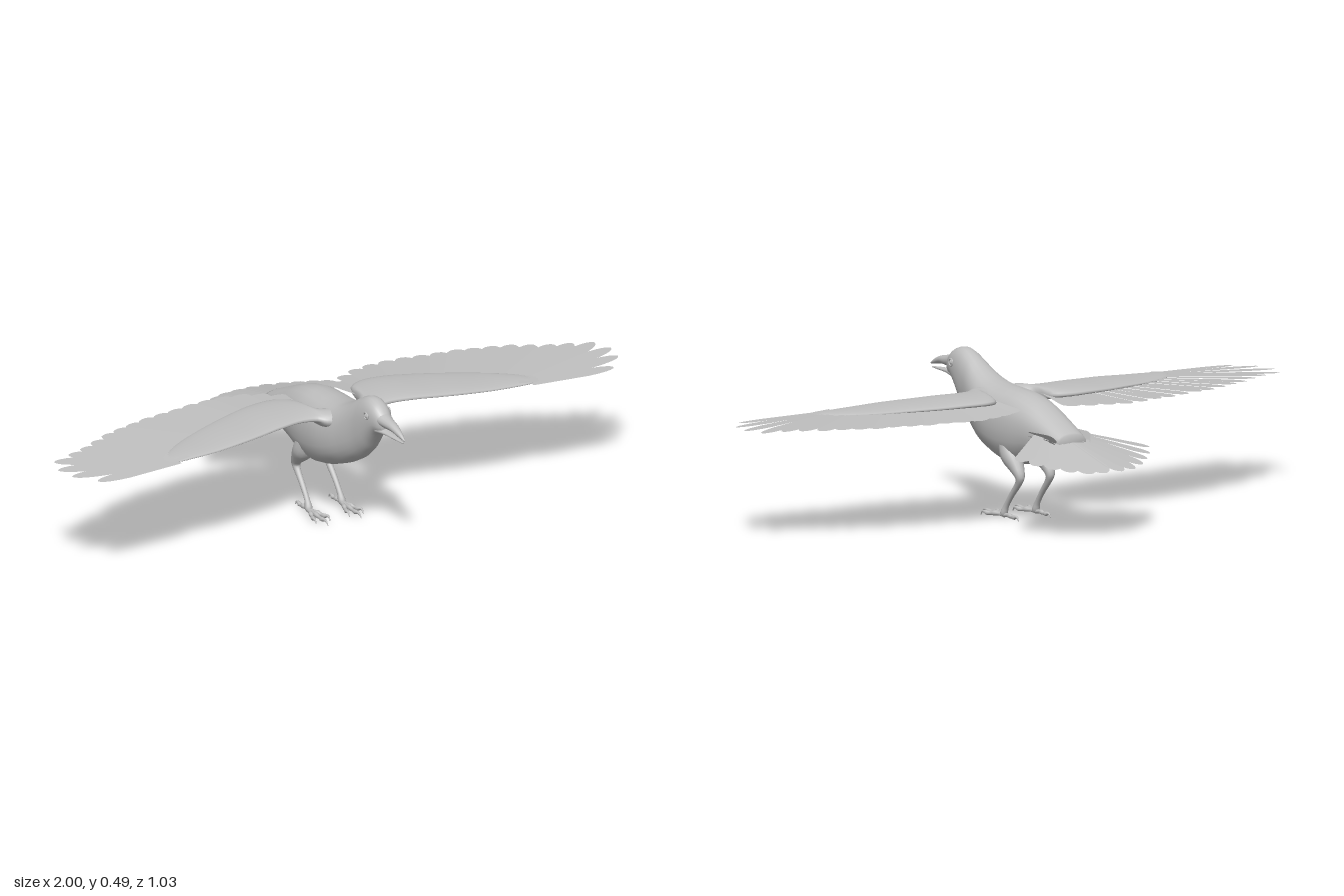
import * as THREE from 'three';

const V = (x, y, z) => new THREE.Vector3(x, y, z);

// Smooth closed skin through rings of points, always wound outward
function loft(rings, steps = 4) {
  const n = rings[0].length, m = (rings.length - 1) * steps, pos = [], idx = [];
  const cols = rings[0].map((_, j) => new THREE.CatmullRomCurve3(rings.map(r => r[j])).getPoints(m));
  for (let i = 0; i <= m; i++) for (let j = 0; j < n; j++) pos.push(...cols[j][i].toArray());
  for (let i = 0; i < m; i++) for (let j = 0; j < n; j++) {
    const a = i * n + j, b = i * n + (j + 1) % n;
    idx.push(a, b, a + n, b, b + n, a + n);
  }
  for (const i of [0, m]) {
    const c = V(0, 0, 0), k = pos.length / 3;
    cols.forEach(col => c.addScaledVector(col[i], 1 / n));
    pos.push(...c.toArray());
    for (let j = 0; j < n; j++) {
      const a = i * n + j, b = i * n + (j + 1) % n;
      idx.push(...(i ? [a, b, k] : [b, a, k]));
    }
  }
  const p = i => V(...pos.slice(i * 3, i * 3 + 3));
  let volume = 0;
  for (let i = 0; i < idx.length; i += 3) volume += p(idx[i]).dot(p(idx[i + 1]).cross(p(idx[i + 2])));
  if (volume < 0) idx.reverse();
  const g = new THREE.BufferGeometry();
  g.setAttribute('position', new THREE.Float32BufferAttribute(pos, 3));
  g.setIndex(idx);
  g.computeVertexNormals();
  return g;
}

const ring = (n, f) => Array.from({ length: n }, (_, j) => f(Math.cos(j / n * Math.PI * 2), Math.sin(j / n * Math.PI * 2)));
const soft = (v, e) => Math.sign(v) * Math.abs(v) ** e;

// Sections along z: [z, bottom, top, half width]
const alongZ = (rows, n = 24, e = 0.88) => loft(rows.map(([z, b, t, w]) =>
  ring(n, (c, s) => V(w * soft(c, e), (b + t) / 2 + (t - b) / 2 * soft(s, e), z))));

// Tapered limb: rows of [x, y, z, radius], running mostly in the yz plane
function limb(rows, n = 10) {
  const pts = rows.map(r => V(r[0], r[1], r[2]));
  return loft(rows.map((r, i) => {
    const t = pts[Math.min(i + 1, pts.length - 1)].clone().sub(pts[Math.max(i - 1, 0)]).normalize();
    const u = V(1, 0, 0).addScaledVector(t, -t.x).normalize(), v = t.clone().cross(u);
    return ring(n, (c, s) => pts[i].clone().addScaledVector(u, c * r[3]).addScaledVector(v, s * r[3]));
  }), 3);
}

// Flat feather from root to tip; point = length share of the tapering end
function feather(root, tip, width, point, up = V(0, 1, 0), roll = 0.06) {
  const L = root.distanceTo(tip), w = width / 2, s = new THREE.Shape();
  s.moveTo(-w * 0.5, 0);
  s.lineTo(-w, L * (1 - point));
  s.quadraticCurveTo(-w * 0.9, L * 0.98, 0, L);
  s.quadraticCurveTo(w * 0.9, L * 0.98, w, L * (1 - point));
  s.lineTo(w * 0.5, 0);
  const dir = tip.clone().sub(root).normalize(), side = dir.clone().cross(up).normalize();
  const g = new THREE.ShapeGeometry(s, 5).rotateY(roll);
  return g.applyMatrix4(new THREE.Matrix4().makeBasis(side, dir, side.clone().cross(dir)).setPosition(root));
}

// Copy reflected in x with its faces turned back outward
function mirror(geo) {
  const g = geo.clone().scale(-1, 1, 1);
  g.setIndex(Array.from(g.index.array).reverse());
  g.computeVertexNormals();
  return g;
}

export function createModel() {
  const model = new THREE.Group();
  model.name = 'bird';
  const plumage = new THREE.MeshStandardMaterial({ color: 0xbfbfbf, side: THREE.DoubleSide });
  plumage.name = 'plain grey';
  const add = (name, geo) => {
    const m = new THREE.Mesh(geo, plumage);
    m.name = name;
    model.add(m);
  };
  const pair = (name, geo) => {
    add(name + 'Left', geo);
    add(name + 'Right', mirror(geo));
  };

  // Head and body
  add('body', alongZ([
    [0.397, 0.405, 0.452, 0.018], [0.385, 0.397, 0.465, 0.027], [0.36, 0.386, 0.484, 0.036],
    [0.33, 0.35, 0.494, 0.042], [0.30, 0.308, 0.492, 0.047], [0.26, 0.27, 0.474, 0.054],
    [0.21, 0.238, 0.444, 0.068], [0.16, 0.213, 0.422, 0.083], [0.10, 0.19, 0.411, 0.094],
    [0.03, 0.173, 0.407, 0.096], [-0.04, 0.174, 0.401, 0.092], [-0.11, 0.193, 0.383, 0.083],
    [-0.18, 0.21, 0.353, 0.073], [-0.25, 0.233, 0.32, 0.062], [-0.285, 0.255, 0.303, 0.05]]));

  // Open beak
  add('upperBeak', alongZ([[0.37, 0.42, 0.466, 0.03], [0.41, 0.42, 0.456, 0.021],
    [0.45, 0.422, 0.448, 0.015], [0.49, 0.415, 0.432, 0.008], [0.512, 0.413, 0.417, 0.002]], 14, 1));
  add('lowerBeak', alongZ([[0.365, 0.39, 0.42, 0.029], [0.41, 0.398, 0.413, 0.017],
    [0.46, 0.4, 0.41, 0.01], [0.503, 0.402, 0.406, 0.002]], 14, 1));

  // Eyes with lids
  pair('eye', new THREE.SphereGeometry(0.009, 14, 10).translate(0.036, 0.446, 0.34));
  pair('eyelid', new THREE.TorusGeometry(0.011, 0.0025, 8, 20).rotateY(Math.PI / 2).translate(0.041, 0.446, 0.34));

  // Wing arms: [x, leading z, trailing z, y, half thickness]
  const arm = [
    [0.03, 0.19, 0.10, 0.365, 0.032], [0.085, 0.175, 0.075, 0.372, 0.026], [0.11, 0.158, -0.02, 0.378, 0.02],
    [0.16, 0.151, -0.048, 0.381, 0.016], [0.24, 0.163, -0.045, 0.381, 0.014], [0.32, 0.18, -0.026, 0.378, 0.012],
    [0.40, 0.195, 0.002, 0.375, 0.011], [0.50, 0.205, 0.042, 0.37, 0.009], [0.58, 0.206, 0.085, 0.367, 0.008],
    [0.635, 0.203, 0.125, 0.365, 0.006], [0.662, 0.19, 0.16, 0.364, 0.003]];
  pair('wingArm', loft(arm.map(([x, f, b, y, t]) =>
    ring(20, (c, s) => V(x, y + t * s, (f + b) / 2 + (f - b) / 2 * c)))));

  // Flight feathers: tips [x, z] from the body outward, roots spaced along the arm
  const tips = [
    [0.115, -0.125], [0.165, -0.155], [0.22, -0.178], [0.28, -0.19], [0.34, -0.188], [0.40, -0.18],
    [0.46, -0.17], [0.52, -0.158], [0.58, -0.146], [0.635, -0.133], [0.69, -0.116], [0.745, -0.096],
    [0.80, -0.07], [0.855, -0.04], [0.91, -0.018], [0.975, 0.005], [0.998, 0.07], [0.985, 0.138], [0.93, 0.205]];
  tips.forEach(([x, z], i) => {
    const k = i / (tips.length - 1), outer = Math.max(0, (i - 9) / 9);
    const root = V(0.115 + 0.52 * Math.min(1, k * 1.25), 0.379 - 0.014 * k, 0.04 + 0.145 * k * k + 0.02 * k);
    const tip = V(x, 0.36 + 0.003 * Math.sin(k * 3) + 0.0008 * (i % 3), z);
    pair('flightFeather' + (i + 1), feather(root, tip, 0.075 - 0.026 * outer, 0.14 + 0.2 * outer));
  });

  // Small feathers edging the arm tip
  for (let i = 0; i < 8; i++) {
    const k = i / 7, x = 0.60 + 0.06 * Math.sin(k * 2), z = 0.10 + 0.095 * k;
    pair('covert' + (i + 1), feather(V(x - 0.06, 0.373, z + 0.02 * (1 - k)), V(x + 0.012, 0.367, z), 0.02, 0.25));
  }

  // Tail fan
  const tail = [[0.03, -0.515], [0.08, -0.508], [0.13, -0.48], [0.172, -0.445], [0.21, -0.405], [0.24, -0.36]];
  tail.forEach(([x, z], i) => {
    const slope = q => 0.22 + (q + 0.51) * 0.255 - 0.0012 * i;
    const rz = -0.2 + 0.005 * i;
    pair('tailFeather' + (i + 1), feather(V(0.012 + 0.007 * i, slope(rz), rz), V(x, slope(z), z), 0.066, 0.16));
  });

  // Rump feathers below the tail root
  for (let i = 0; i < 4; i++) {
    pair('rumpFeather' + (i + 1), feather(V(0.074, 0.295 - 0.014 * i, -0.15),
      V(0.064, 0.29 - 0.016 * i, -0.288), 0.03, 0.25, V(1, -0.5, 0)));
  }

  // Legs
  pair('leg', limb([[0.052, 0.25, 0.0, 0.034], [0.056, 0.205, -0.025, 0.036], [0.057, 0.17, -0.055, 0.024],
    [0.057, 0.14, -0.073, 0.015], [0.057, 0.12, -0.063, 0.011], [0.058, 0.08, -0.028, 0.009],
    [0.059, 0.04, 0.002, 0.009], [0.06, 0.015, 0.014, 0.012], [0.06, 0.008, 0.018, 0.006]], 14));

  // Toes with curved claws: [name, sideways spread, end z]
  for (const [name, dx, end] of [['innerToe', -0.025, 0.105], ['middleToe', 0, 0.135],
    ['outerToe', 0.025, 0.105], ['backToe', 0, -0.07]]) {
    pair(name, limb([[0, 0.012, 0.009], [0.22, 0.013, 0.006], [0.4, 0.013, 0.008], [0.55, 0.011, 0.0055],
      [0.7, 0.011, 0.0075], [0.82, 0.014, 0.0045], [0.92, 0.012, 0.003], [1, 0.002, 0.001]]
      .map(([t, y, r]) => [0.06 + dx * Math.min(1, t * 1.2), y, 0.012 + (end - 0.012) * t, r]), 8));
  }
  return model;
}
